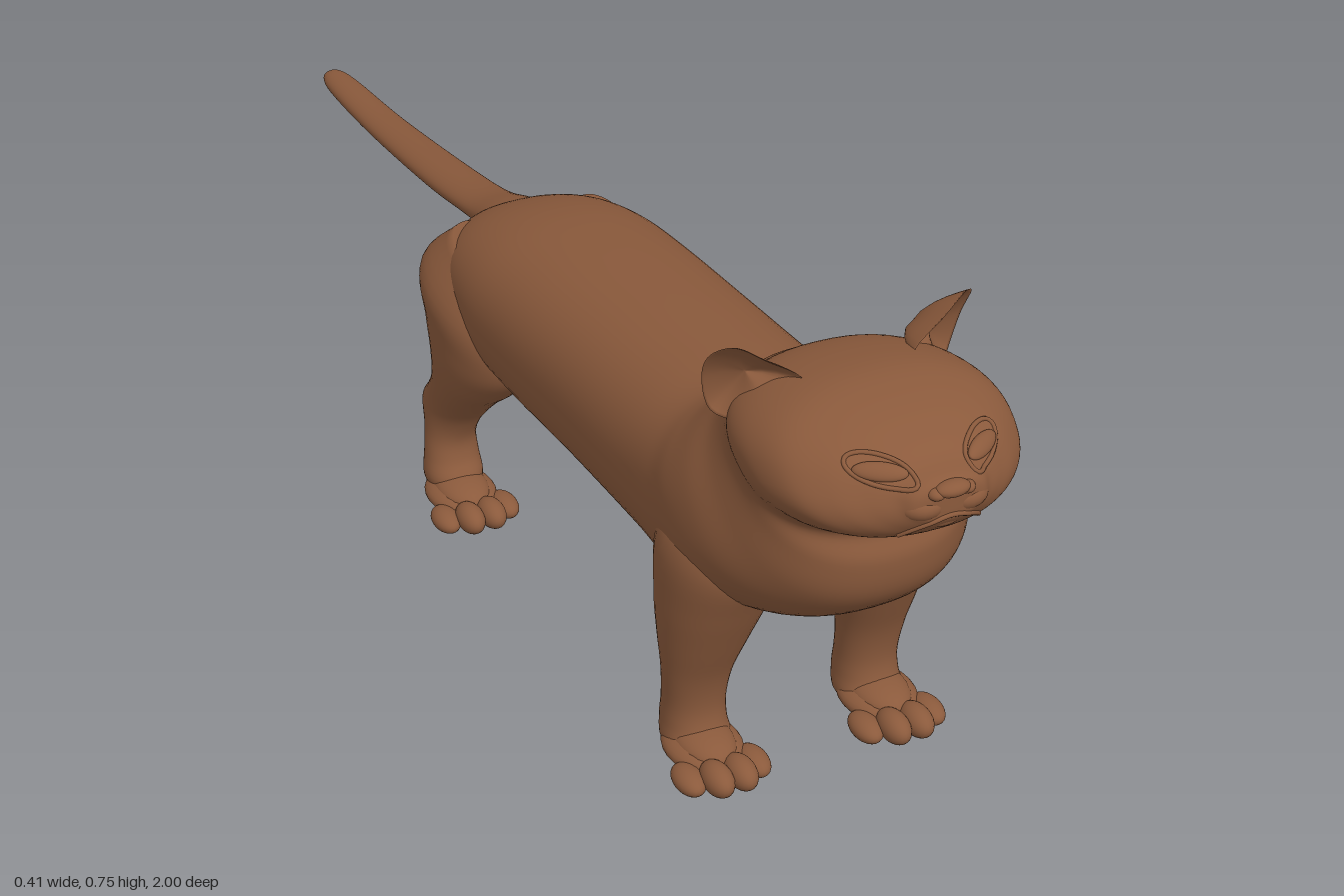
import * as THREE from 'three';

const fur = new THREE.MeshStandardMaterial({ color: 0x8b5a3c });
fur.name = 'brown fur';
const V = (x, y, z) => new THREE.Vector3(x, y, z);

function mesh(geometry, name, parent) {
  const m = new THREE.Mesh(geometry, fur);
  m.name = name;
  parent.add(m);
  return m;
}

// Closed smooth skin over rings of points
function skin(rings) {
  const n = rings[0].length, pos = [], idx = [];
  rings.forEach(r => r.forEach(p => pos.push(p.x, p.y, p.z)));
  for (let i = 0; i < rings.length - 1; i++) {
    for (let j = 0; j < n; j++) {
      const k = (j + 1) % n, a = i * n, b = a + n;
      idx.push(a + j, b + j, a + k, a + k, b + j, b + k);
    }
  }
  // end caps
  [0, rings.length - 1].forEach((r, end) => {
    const c = rings[r].reduce((s, p) => s.add(p), V(0, 0, 0)).divideScalar(n);
    const ci = pos.length / 3;
    pos.push(c.x, c.y, c.z);
    for (let j = 0; j < n; j++) {
      const a = r * n + j, b = r * n + (j + 1) % n;
      end ? idx.push(ci, b, a) : idx.push(ci, a, b);
    }
  });
  const g = new THREE.BufferGeometry();
  g.setAttribute('position', new THREE.Float32BufferAttribute(pos, 3));
  g.setIndex(idx);
  g.computeVertexNormals();
  return g;
}

// Loft through sections [z1, y1, z2, y2, halfWidth, centreX]: two opposite
// points in the side plane and a width, joined by a rounded superellipse
function loft(sections, power, side = 1, sides = 40, steps = 5) {
  const curve = f => new THREE.CatmullRomCurve3(sections.map(f), false, 'catmullrom', 0.5);
  const A = curve(s => V(0, s[1], s[0]));
  const B = curve(s => V(0, s[3], s[2]));
  const W = curve(s => V(s[4], s[5] || 0, 0));
  const count = (sections.length - 1) * steps, rings = [];
  const bend = v => Math.sign(v) * Math.abs(v) ** (2 / power);
  for (let i = 0; i <= count; i++) {
    const t = i / count, a = A.getPoint(t), b = B.getPoint(t), w = W.getPoint(t);
    const mid = a.clone().add(b).multiplyScalar(0.5), half = a.sub(mid), ring = [];
    for (let j = 0; j < sides; j++) {
      const ang = j / sides * Math.PI * 2;
      const p = mid.clone().addScaledVector(half, bend(Math.cos(ang)));
      p.x = side * w.y + w.x * bend(Math.sin(ang));
      ring.push(p);
    }
    rings.push(ring);
  }
  return skin(rings);
}

function blob(name, parent, x, y, z, rx, ry, rz) {
  const m = mesh(new THREE.SphereGeometry(1, 24, 16), name, parent);
  m.position.set(x, y, z);
  m.scale.set(rx, ry, rz);
  return m;
}

// Torso, chest, neck and head in one sweep, from rump to muzzle
const TRUNK = [
  [-.27, .40, -.26, .375, .02], [-.25, .432, -.245, .335, .09],
  [-.18, .468, -.19, .29, .14], [-.08, .497, -.08, .258, .162],
  [.05, .516, .05, .252, .165], [.25, .535, .23, .26, .162],
  [.42, .549, .45, .268, .162], [.50, .556, .58, .28, .17],
  [.54, .568, .70, .32, .18], [.57, .592, .80, .37, .176],
  [.59, .618, .865, .43, .16], [.61, .643, .88, .49, .152],
  [.635, .66, .87, .53, .156], [.67, .684, .885, .551, .167],
  [.73, .703, .915, .563, .168], [.80, .714, .945, .576, .154],
  [.865, .707, .963, .588, .123], [.915, .692, .975, .60, .088],
  [.95, .676, .983, .61, .063], [.978, .668, .987, .618, .047],
  [.988, .655, .988, .63, .025]
];
const TAIL = [
  [-1, .312, -1, .306, .004], [-.985, .322, -.99, .299, .017],
  [-.93, .328, -.93, .297, .026], [-.75, .342, -.75, .307, .032],
  [-.5, .375, -.5, .335, .039], [-.35, .402, -.35, .36, .042],
  [-.25, .437, -.25, .375, .05], [-.15, .465, -.17, .38, .06]
];
const FRONT_LEG = [
  [.71, .46, .55, .46, .05, .10], [.73, .40, .53, .40, .075, .108],
  [.705, .33, .54, .31, .069, .117], [.675, .26, .555, .255, .058, .124],
  [.65, .20, .565, .20, .047, .128], [.64, .15, .56, .15, .042, .128],
  [.645, .115, .555, .115, .043, .128], [.66, .09, .56, .085, .045, .128],
  [.65, .072, .57, .072, .03, .128]
];
const HIND_LEG = [
  [-.03, .41, -.21, .44, .04, .095], [.005, .345, -.262, .385, .07, .108],
  [0, .285, -.24, .33, .067, .113], [-.04, .237, -.215, .275, .061, .116],
  [-.085, .20, -.213, .22, .052, .119], [-.125, .16, -.24, .175, .043, .122],
  [-.145, .13, -.262, .145, .038, .126], [-.155, .10, -.245, .11, .036, .13],
  [-.15, .07, -.23, .07, .04, .133], [-.135, .04, -.225, .035, .043, .135],
  [-.15, .01, -.215, .01, .03, .135]
];

// Paw: a flat pad with four rounded toes
function paw(name, parent, side, x, y, z) {
  const g = new THREE.Group();
  g.name = name;
  g.position.set(side * x, y, z);
  parent.add(g);
  blob('pawPad', g, 0, .022, -.035, .052, .022, .065);
  blob('instep', g, 0, .03, -.035, .04, .022, .06);
  [[-.047, .016, .018], [-.017, .023, .04], [.017, .023, .04], [.047, .016, .018]]
    .forEach(([tx, ty, tz]) => blob('toe', g, tx, ty, tz, .02, ty > .02 ? .021 : .016, .033));
}

// Ear: a cupped shell with a bulging back and hollow front
function ear(side) {
  const rim = new THREE.CatmullRomCurve3([
    V(.075, .698, .765), V(.12, .732, .755), V(.158, .753, .742), V(.178, .738, .722),
    V(.178, .695, .70), V(.162, .642, .70), V(.12, .66, .765)
  ], true).getPoints(40).slice(0, 40);
  const centre = V(.14, .70, .735), n = V(.5, .1, .85).normalize(), rings = [];
  const add = (r, depth) => {
    const ring = rim.map(p => {
      const q = centre.clone().lerp(p, r).addScaledVector(n, -depth * (1 - r * r));
      q.x *= side;
      return q;
    });
    rings.push(side > 0 ? ring : ring.reverse());
  };
  [.05, .3, .55, .75, .9, .97].forEach(r => add(r, .05));
  [1, .95, .88, .75, .55, .3, .05].forEach(r => add(r, .027));
  return skin(rings);
}

export function createModel() {
  const cat = new THREE.Group();
  cat.name = 'cat';
  const trunk = mesh(loft(TRUNK, 2.3, 1, 64, 6), 'bodyAndHead', cat);
  mesh(loft(TAIL, 2), 'tail', cat);

  // muzzle and nose
  const muzzle = new THREE.Group();
  muzzle.name = 'muzzle';
  cat.add(muzzle);
  for (const s of [-1, 1]) {
    blob('whiskerPad', muzzle, s * .028, .633, .962, .032, .02, .029);
    blob('nostrilWing', muzzle, s * .02, .654, .983, .011, .008, .012);
  }
  blob('noseTip', muzzle, 0, .658, .986, .023, .01, .014);
  blob('chin', muzzle, 0, .61, .958, .035, .016, .024);

  // drops a front-facing point onto the head surface
  const ray = new THREE.Raycaster();
  cat.updateMatrixWorld(true);
  const cast = (x, y) => {
    ray.set(V(x, y, 2), V(0, 0, -1));
    return ray.intersectObjects([trunk, muzzle], true)[0];
  };
  const line = (pts, r, closed, name) => mesh(new THREE.TubeGeometry(
    new THREE.CatmullRomCurve3(pts, closed), 48, r, 8, closed), name, cat);

  // lip line
  const lip = [];
  for (let i = -6; i <= 6; i++) {
    const u = i / 6;
    lip.push(cast(u * .054, .622 - .029 * u * u).point);
  }
  line(lip, .0035, false, 'lip');

  for (const s of [-1, 1]) {
    // eyes with lids
    const hit = cast(s * .068, .67);
    const eye = blob('eye', cat, hit.point.x, hit.point.y, hit.point.z, .033, .012, .007);
    eye.lookAt(hit.point.clone().add(hit.face.normal));
    const lid = [];
    for (let i = 0; i < 20; i++) {
      const a = i / 20 * Math.PI * 2;
      lid.push(cast(s * (.068 + .032 * Math.cos(a)), .67 + .013 * Math.sin(a) + .002 * Math.cos(a)).point);
    }
    line(lid, .003, true, 'eyelid');

    mesh(ear(s), 'ear', cat);
    mesh(loft(FRONT_LEG, 2.2, s), 'frontLeg', cat);
    mesh(loft(HIND_LEG, 2.2, s), 'hindLeg', cat);
    paw('frontPaw', cat, s, .13, .067, .667);
    paw('hindPaw', cat, s, .137, 0, -.113);
  }
  return cat;
}
